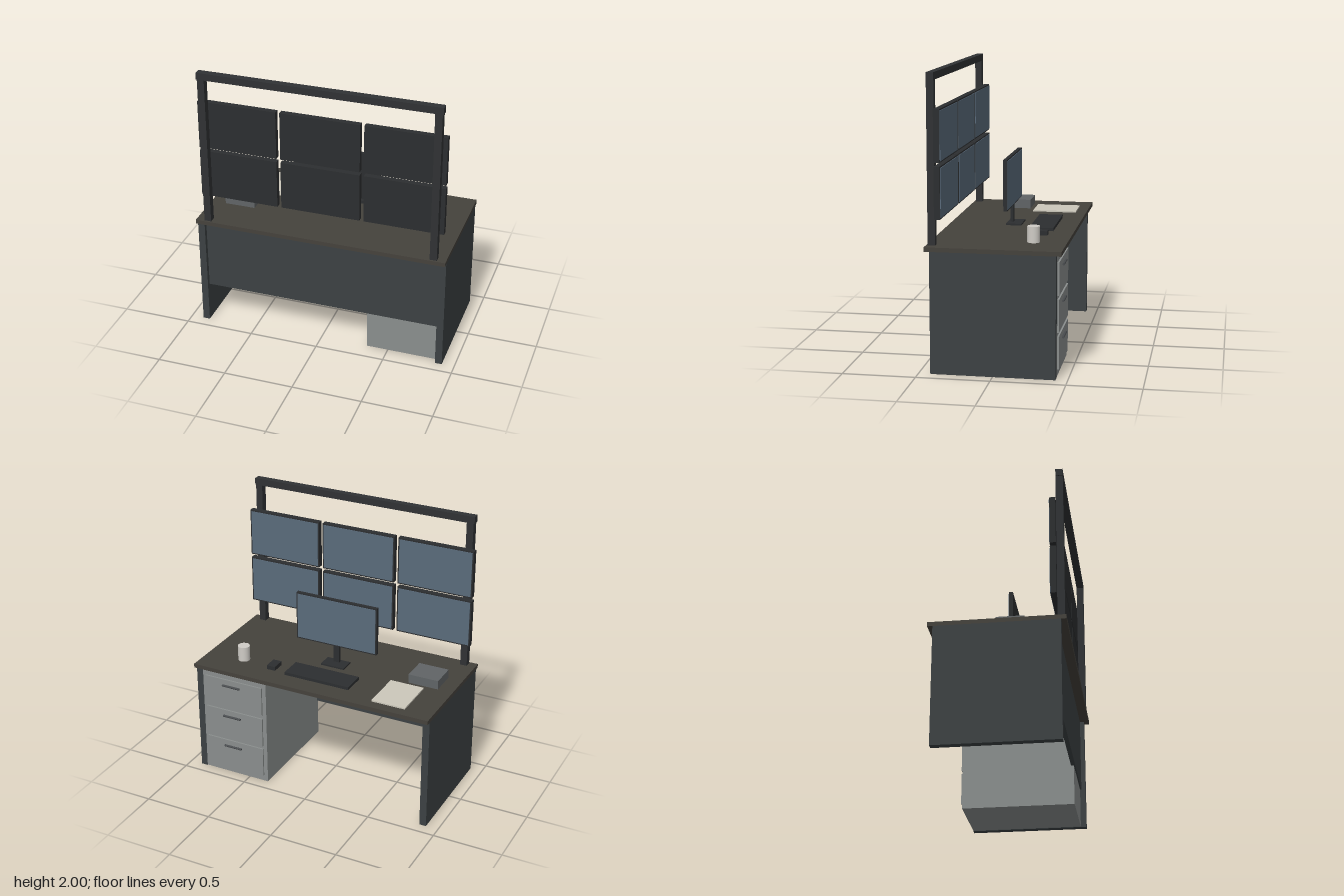
import * as THREE from 'three';

const mat = (color) => new THREE.MeshStandardMaterial({ color });
const M = {
  top: mat(0x45423c), panel: mat(0x3c4143), frame: mat(0x303234), device: mat(0x2c2e30),
  screen: mat(0x5a6b7b), cabinet: mat(0x8a8e8d), handle: mat(0x4a4d50),
  paper: mat(0xccc8bb), cup: mat(0xcfccc6), box: mat(0x606466),
};

export function createModel() {
  const desk = new THREE.Group();
  desk.name = 'workstationDesk';

  // Box given by its extents on each axis
  const box = (name, material, [x0, x1], [y0, y1], [z0, z1], parent = desk) => {
    const m = new THREE.Mesh(new THREE.BoxGeometry(x1 - x0, y1 - y0, z1 - z0), material);
    m.position.set((x0 + x1) / 2, (y0 + y1) / 2, (z0 + z1) / 2);
    m.name = name;
    parent.add(m);
    return m;
  };

  // Desk body
  box('deskTop', M.top, [-0.91, 0.91], [0.83, 0.86], [-0.455, 0.455]);
  for (const s of [-1, 1]) {
    const side = box('sidePanel', M.panel, [-0.025, 0.025], [0, 0.83], [-0.42, 0.42]);
    side.position.x = s * 0.885;
  }
  box('modestyPanel', M.panel, [-0.86, 0.86], [0.29, 0.83], [0.36, 0.39]);

  // Drawer cabinet
  const cabinet = new THREE.Group();
  cabinet.name = 'drawerCabinet';
  desk.add(cabinet);
  box('cabinetBody', M.cabinet, [0.345, 0.86], [0.004, 0.83], [-0.42, 0.38], cabinet);
  for (let i = 0; i < 3; i++) {
    const y = 0.05 + i * 0.25;
    box('drawerFront', M.cabinet, [0.375, 0.835], [y, y + 0.225], [-0.432, -0.42], cabinet);
    const handle = new THREE.Mesh(new THREE.CylinderGeometry(0.008, 0.008, 0.14, 12), M.handle);
    handle.rotation.z = Math.PI / 2;
    handle.position.set(0.62, y + 0.18, -0.44);
    handle.name = 'drawerHandle';
    cabinet.add(handle);
  }

  // Monitor frame
  for (const s of [-1, 1]) {
    const post = box('framePost', M.frame, [-0.025, 0.025], [0.86, 1.95], [0.392, 0.442]);
    post.position.x = s * 0.823;
  }
  box('frameBeam', M.frame, [-0.855, 0.855], [1.95, 2], [0.392, 0.442]);

  // Display with its screen facing the user at -z
  const display = (name, cx, [y0, y1], w, z0, z1) => {
    const g = new THREE.Group();
    g.name = name;
    desk.add(g);
    box('housing', M.device, [cx - w / 2, cx + w / 2], [y0, y1], [z0, z1], g);
    box('screen', M.screen, [cx - w / 2 + 0.01, cx + w / 2 - 0.01],
      [y0 + 0.01, y1 - 0.01], [z0 - 0.004, z0], g);
  };
  for (const y of [1.04, 1.415])
    for (const x of [-0.595, 0, 0.595]) display('wallMonitor', x, [y, y + 0.35], 0.566, 0.35, 0.391);

  // Desk monitor and stand
  display('deskMonitor', 0, [1, 1.36], 0.632, 0.003, 0.03);
  box('monitorPole', M.device, [-0.022, 0.022], [0.87, 1], [0.008, 0.03]);
  box('monitorBase', M.device, [-0.09, 0.09], [0.86, 0.872], [-0.06, 0.05]);

  // Things on the desk
  box('keyboard', M.device, [-0.25, 0.25], [0.86, 0.882], [-0.31, -0.14]);
  box('mouse', M.device, [0.34, 0.405], [0.86, 0.89], [-0.29, -0.19]);
  box('paperPad', M.paper, [-0.71, -0.46], [0.86, 0.87], [-0.38, -0.06]);
  box('storageBox', M.box, [-0.8, -0.577], [0.86, 0.925], [-0.022, 0.168]);
  const cup = new THREE.Mesh(new THREE.CylinderGeometry(0.043, 0.043, 0.11, 32), M.cup);
  cup.position.set(0.625, 0.915, -0.23);
  cup.name = 'cup';
  desk.add(cup);

  return desk;
}
